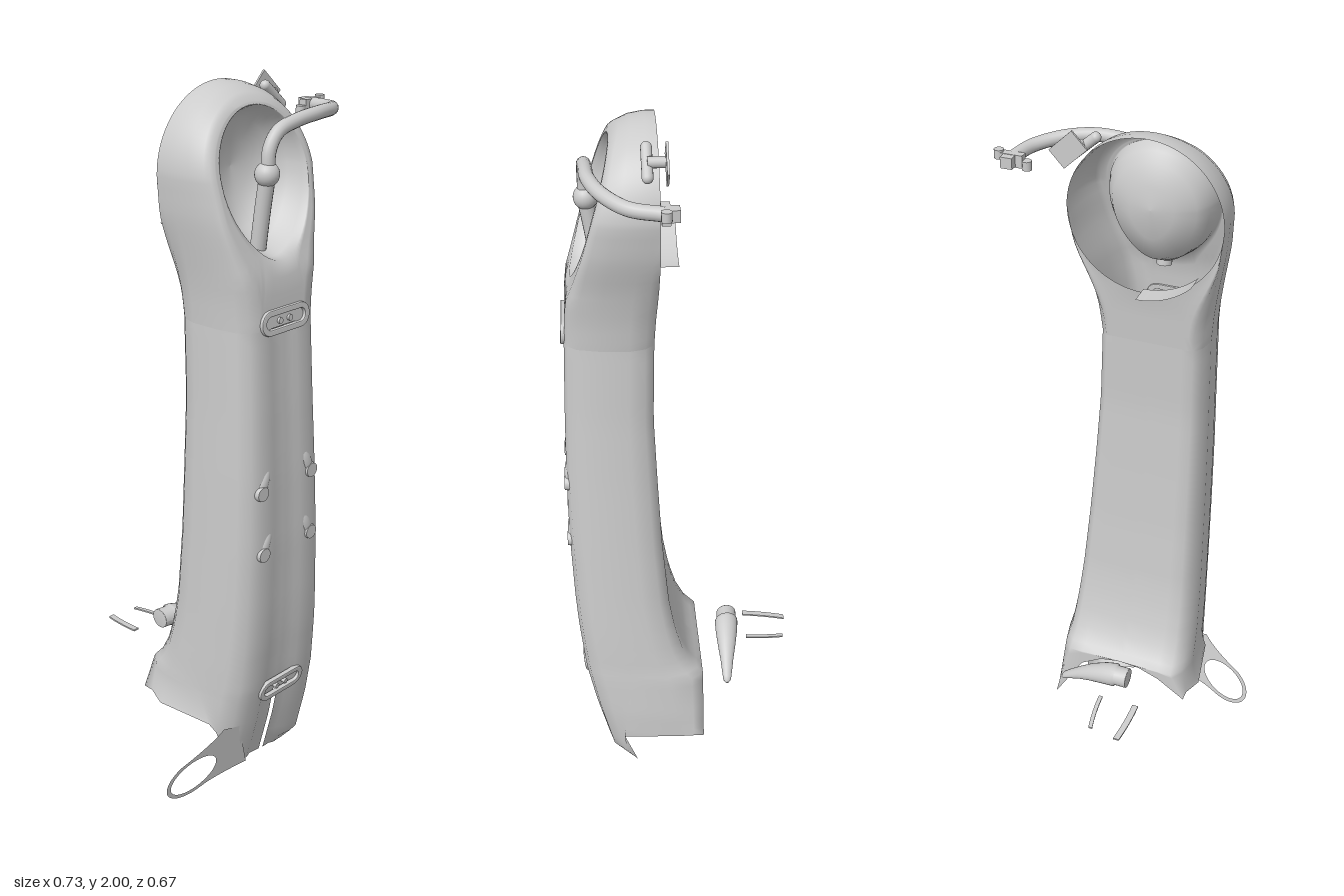
import * as THREE from 'three';

const grey = new THREE.MeshStandardMaterial({ color: 0xcccccc, side: THREE.DoubleSide });
const { lerp, smoothstep } = THREE.MathUtils;

// Body outline by height: y, left x, right x, back z, front z
const OUTLINE = [
  [0, -0.235, 0.205, -0.05, 0.185], [0.05, -0.235, 0.203, -0.05, 0.235], [0.2, -0.228, 0.2, -0.05, 0.272],
  [0.33, -0.225, 0.19, -0.05, 0.298], [0.37, -0.222, 0.183, -0.015, 0.303], [0.42, -0.22, 0.178, 0.01, 0.308],
  [0.5, -0.217, 0.17, 0.033, 0.316], [0.6, -0.215, 0.16, 0.05, 0.322], [0.8, -0.212, 0.142, 0.067, 0.329],
  [1, -0.21, 0.125, 0.077, 0.329], [1.2, -0.207, 0.11, 0.085, 0.324], [1.42, -0.206, 0.1, 0.08, 0.316],
  [1.5, -0.212, 0.108, 0.075, 0.311], [1.55, -0.218, 0.116, 0.071, 0.305], [1.6, -0.226, 0.126, 0.068, 0.288],
  [1.7, -0.243, 0.155, 0.065, 0.257],
  [1.79, -0.25, 0.17, 0.065, 0.232], [1.95, -0.25, 0.17, 0.065, 0.183], [2, -0.25, 0.17, 0.065, 0.155],
];
function outline(y) {
  const i = Math.max(1, OUTLINE.findIndex((r) => r[0] >= y));
  const a = OUTLINE[i - 1], b = OUTLINE[i], t = (y - a[0]) / (b[0] - a[0]);
  const [xl, xr, zb, zf] = [1, 2, 3, 4].map((k) => lerp(a[k], b[k], t));
  return { cx: (xl + xr) / 2, hw: (xr - xl) / 2, zb, zf };
}

// Half section from back centre to front centre: across, depth
const HALF = [[0.04, 0], [0.3, 0], [0.6, 0], [0.8, 0], [0.93, 0.1], [1, 0.28], [0.96, 0.6], [0.87, 0.85],
  [0.74, 0.96], [0.55, 1], [0.32, 1], [0.23, 0.975], [0.04, 0.975]];
const HEAD = [[1, 0], [1, 0.1], [1, 0.3], [0.97, 0.65], [0.9, 0.9], [0.86, 0.97], [0.8, 1]];
const N = HALF.length;

function add(parent, name, geometry, x = 0, y = 0, z = 0) {
  const m = new THREE.Mesh(geometry, grey);
  m.name = name;
  m.position.set(x, y, z);
  parent.add(m);
  return m;
}

// Skin over rows of points closed into loops; skip(i, j) leaves openings
function skin(rows, skip) {
  const n = rows[0].length, index = [];
  for (let i = 0; i < rows.length - 1; i++) for (let j = 0; j < n; j++) {
    if (skip(i, j)) continue;
    const k = (j + 1) % n, a = i * n + j, b = i * n + k;
    index.push(a, b, a + n, b, b + n, a + n);
  }
  const g = new THREE.BufferGeometry();
  g.setAttribute('position', new THREE.Float32BufferAttribute(rows.flat(2), 3));
  g.setIndex(index);
  g.computeVertexNormals();
  return g;
}

// Column: arched at the back and slit in front near the foot
function columnGeometry() {
  const cols = [...HALF.map(([u, w], i) => [u, w, i]), ...HALF.map(([u, w], i) => [-u, w, i]).reverse()];
  // Height of the lower edge along each half section
  const right = [0.33, 0.32, 0.28, 0.12, 0.12, 0.12, 0.12, 0.005, 0.01, 0.02, 0.03, 0.035, 0.05];
  const left = [0.33, 0.325, 0.3, 0.24, 0.24, 0.235, 0.23, 0.2, 0.12, 0.06, 0.06, 0.06, 0.055];
  // Section reached at the lower edge: corners square up, the side runs forward
  const foot = HALF.map((p) => [...p]);
  foot[3] = [1, 0];
  foot[4] = [1, 0.1];
  foot[6] = [0.95, 0.8];
  const at = (u, w, y) => {
    const o = outline(y);
    return [o.cx + u * o.hw, y, lerp(o.zb, o.zf, w)];
  };
  const rows = [];
  for (let i = 0; i <= 24; i++) {
    const y = lerp(1.42, 0.48, i / 24);
    rows.push(cols.map(([u, w]) => at(u, w, y)));
  }
  for (const y of [0.45, 0.42, 0.395, 0.37, 0.35, 0.33]) rows.push(cols.map(([u, w]) => at(u, w, y)));
  const footStart = rows.length - 1;
  for (let i = 1; i <= 8; i++) {
    const t = i / 8;
    rows.push(cols.map(([u, w, k]) => {
      const flare = u < 0 && k === 5 ? 1 + 0.1 * t * t : 1;
      const across = lerp(Math.abs(u), foot[k][0], t) * Math.sign(u) * flare;
      return at(across, lerp(w, foot[k][1], t), lerp(0.33, (u > 0 ? right : left)[k], t));
    }));
  }
  return skin(rows, (i, j) => i > footStart && j === N - 1);
}

// Head: round back rim, rounded shoulders, drop-shaped front recess
function headGeometry() {
  const cx = -0.04, cy = 1.79, R = 0.21, base = 1.42, loop = [];
  for (let i = 0; i <= 40; i++) {
    const a = Math.PI * i / 40;
    loop.push({ x: cx + R * Math.cos(a), y: cy + R * Math.sin(a), top: true });
  }
  const side = (s, i) => {
    const y = lerp(cy, base, i / 14), o = outline(y);
    loop.push({ x: o.cx + s * o.hw, y });
  };
  for (let i = 1; i <= 14; i++) side(-1, i);
  const b = outline(base), first = loop.length - 1;
  for (let i = 1; i < 16; i++) loop.push({ x: b.cx + b.hw * (i / 8 - 1), y: base });
  const last = loop.length;
  for (let i = 14; i >= 1; i--) side(1, i);

  const angle = (p) => Math.atan2(p.y - cy, p.x - cx);
  const rim = loop.map((p) => [cx + R * Math.cos(angle(p)), cy + R * Math.sin(angle(p)), 0.065]);
  const levels = HEAD.map((h, k) => loop.map((p) => {
    const f = smoothstep(p.y, 1.45, 1.7), d = HALF[k + 3];
    const u = lerp(d[0], h[0], f), w = lerp(d[1], h[1], f);
    const y = p.top ? cy + (p.y - cy) * u : p.y, o = outline(y);
    const c = p.top ? cx : o.cx;
    return [c + (p.x - c) * u, y, lerp(o.zb, o.zf, w)];
  }));
  const hole = (s, depth) => loop.map((p) => {
    const a = angle(p), sn = Math.sin(a);
    const x = 0.152 * Math.cos(a) * (sn < 0 ? 1 - 0.18 * sn * sn : 1);
    const y = cy + sn * (sn < 0 ? 0.208 : 0.16) * s;
    return [cx + x * s, y, lerp(outline(y).zf, 0.11, depth)];
  });
  // Rows between two loops, kept on the curved back or front
  const between = (p, q, face) => [0.25, 0.5, 0.75].map((t) => p.map((a, i) => {
    const y = lerp(a[1], q[i][1], t);
    return [lerp(a[0], q[i][0], t), y, outline(y)[face]];
  }));
  const edge = hole(1, 0);
  const rows = [rim, ...between(rim, levels[0], 'zb'), ...levels, ...between(levels[6], edge, 'zf'), edge,
    hole(0.98, 0.15), hole(0.9, 0.45), hole(0.75, 0.75), hole(0.4, 0.95), hole(0, 1)];
  return skin(rows, (i, j) => i > 3 && i < 10 && j >= first && j < last);
}

// Ear on the right foot with an oval eye
function earGeometry() {
  const s = new THREE.Shape(), cx = -0.283, cy = 0.09;
  s.moveTo(-0.1, 0.06);
  s.quadraticCurveTo(-0.17, 0.055, -0.23, 0.038);
  s.absellipse(cx, cy, 0.09, 0.068, -1.75, 1.75, true, 0.5);
  s.quadraticCurveTo(-0.235, 0.19, -0.205, 0.23);
  s.lineTo(-0.15, 0.22);
  const eye = new THREE.Path();
  eye.absellipse(cx, cy, 0.077, 0.054, 0, Math.PI * 2, false, 0.5);
  s.holes.push(eye);
  const g = new THREE.ShapeGeometry(s, 32), p = g.attributes.position;
  for (let i = 0; i < p.count; i++) p.setZ(i, 0.27 + 0.2 * p.getX(i) + 0.2 * (p.getY(i) - 0.07));
  g.computeVertexNormals();
  return g;
}

function tube(points, r, segments = 64) {
  const curve = new THREE.CatmullRomCurve3(points.map((p) => new THREE.Vector3(...p)));
  return new THREE.TubeGeometry(curve, segments, r, 16);
}

// Rounded slot outline: half length and radius
function stadium(path, h, r) {
  path.absarc(h - r, 0, r, -Math.PI / 2, Math.PI / 2, false);
  path.absarc(r - h, 0, r, Math.PI / 2, Math.PI * 1.5, false);
  path.closePath();
  return path;
}

export function createModel() {
  const g = new THREE.Group();
  g.name = 'column';
  add(g, 'columnShell', columnGeometry());
  add(g, 'headShell', headGeometry());
  add(g, 'footEar', earGeometry());

  // Curved lip under the back rim
  const lip = add(g, 'rimLip', new THREE.CylinderGeometry(0.21, 0.21, 0.06, 16, 1, true, -Math.PI / 4, Math.PI / 4), -0.04, 1.8, 0.036);
  lip.rotation.x = Math.PI / 2;

  // Slot frames with two screws
  const frame = stadium(new THREE.Shape(), 0.085, 0.03);
  frame.holes.push(stadium(new THREE.Path(), 0.074, 0.02));
  const frameGeo = new THREE.ExtrudeGeometry(frame, { depth: 0.008, bevelSize: 0.003, bevelThickness: 0.003, bevelSegments: 2 });
  for (const [x, y, z, tilt] of [[-0.05, 1.435, 0.313, -0.06], [-0.01, 0.315, 0.293, 0.15]]) {
    const slot = new THREE.Group();
    slot.name = 'slot';
    slot.position.set(x, y, z);
    slot.rotation.x = tilt;
    add(slot, 'slotFrame', frameGeo);
    for (const s of [-1, 1]) {
      add(slot, 'slotScrew', new THREE.CylinderGeometry(0.008, 0.008, 0.014, 12), s * 0.018, 0, 0.002).rotation.x = Math.PI / 2;
    }
    g.add(slot);
  }

  // Four studs on slanted bosses
  for (const [x, y] of [[-0.135, 0.975], [0.055, 0.985], [-0.125, 0.79], [0.06, 0.795]]) {
    const s = x < 0 ? -1 : 1;
    add(g, 'stud', new THREE.CylinderGeometry(0.02, 0.024, 0.03, 20), x, y, 0.32).rotation.x = Math.PI / 2;
    const boss = add(g, 'studBoss', new THREE.SphereGeometry(1, 16, 12), x - s * 0.01, y + 0.022, 0.318);
    boss.scale.set(0.02, 0.05, 0.016);
    boss.rotation.z = s * 0.4;
  }

  // Bent arm with ball joint and end clamp
  add(g, 'armPost', tube([[-0.045, 1.59, 0.215], [-0.045, 1.7, 0.23], [-0.045, 1.79, 0.245]], 0.021, 16));
  add(g, 'armBall', new THREE.SphereGeometry(0.032, 24, 16), -0.045, 1.79, 0.243);
  add(g, 'arm', tube([[-0.045, 1.79, 0.245], [-0.04, 1.85, 0.245], [-0.012, 1.889, 0.245], [0.06, 1.908, 0.242],
    [0.15, 1.915, 0.235], [0.23, 1.91, 0.205], [0.295, 1.9, 0.145], [0.318, 1.895, 0.065]], 0.018));
  add(g, 'clampBar', new THREE.BoxGeometry(0.06, 0.034, 0.022), 0.313, 1.894, 0.062);
  add(g, 'clampTip', new THREE.BoxGeometry(0.032, 0.03, 0.025), 0.318, 1.895, 0.042);
  for (const s of [-1, 1]) {
    add(g, 'clampEar', new THREE.CylinderGeometry(0.013, 0.013, 0.024, 16), 0.313 + s * 0.038, 1.894 + s * 0.01, 0.062);
  }

  // Latch beside the head
  add(g, 'latchPlate', new THREE.BoxGeometry(0.085, 0.06, 0.006), 0.155, 1.95, 0.048).rotation.z = -0.75;
  add(g, 'latchPin', new THREE.CylinderGeometry(0.014, 0.014, 0.045, 16), 0.137, 1.948, 0.072).rotation.x = Math.PI / 2;
  add(g, 'latchBar', new THREE.CapsuleGeometry(0.014, 0.08, 6, 16), 0.13, 1.945, 0.095).rotation.z = 0.85;

  // Tapered, drooping handle floating behind the foot
  const profile = [[0, 0], [0.029, 0], [0.03, 0.002], [0.03, 0.038], [0.035, 0.04], [0.035, 0.05], [0.033, 0.08],
    [0.027, 0.125], [0.02, 0.165], [0.015, 0.2], [0.012, 0.218], [0.006, 0.225], [0, 0.226]];
  const handle = new THREE.LatheGeometry(profile.map((p) => new THREE.Vector2(...p)), 24).rotateZ(-Math.PI / 2);
  const hp = handle.attributes.position;
  for (let i = 0; i < hp.count; i++) {
    const t = hp.getX(i) / 0.226;
    hp.setXYZ(i, hp.getX(i), hp.getY(i) - 0.085 * t * t, hp.getZ(i) + 0.017 * t);
  }
  handle.computeVertexNormals();
  add(g, 'handle', handle, -0.08, 0.368, -0.142);

  // Two thin curved blades
  for (const [x, dx, w, end] of [[-0.125, 0.012, 0.018, -0.332], [-0.014, -0.012, 0.012, -0.317]]) {
    const geo = new THREE.BoxGeometry(w, 0.005, 1, 1, 1, 8), p = geo.attributes.position;
    for (let i = 0; i < p.count; i++) {
      const t = p.getZ(i) + 0.5;
      p.setXYZ(i, p.getX(i) + x + dx * t * t, p.getY(i) + 0.322 - 0.014 * t, lerp(-0.2, end, t));
    }
    geo.computeVertexNormals();
    add(g, 'blade', geo);
  }
  return g;
}
